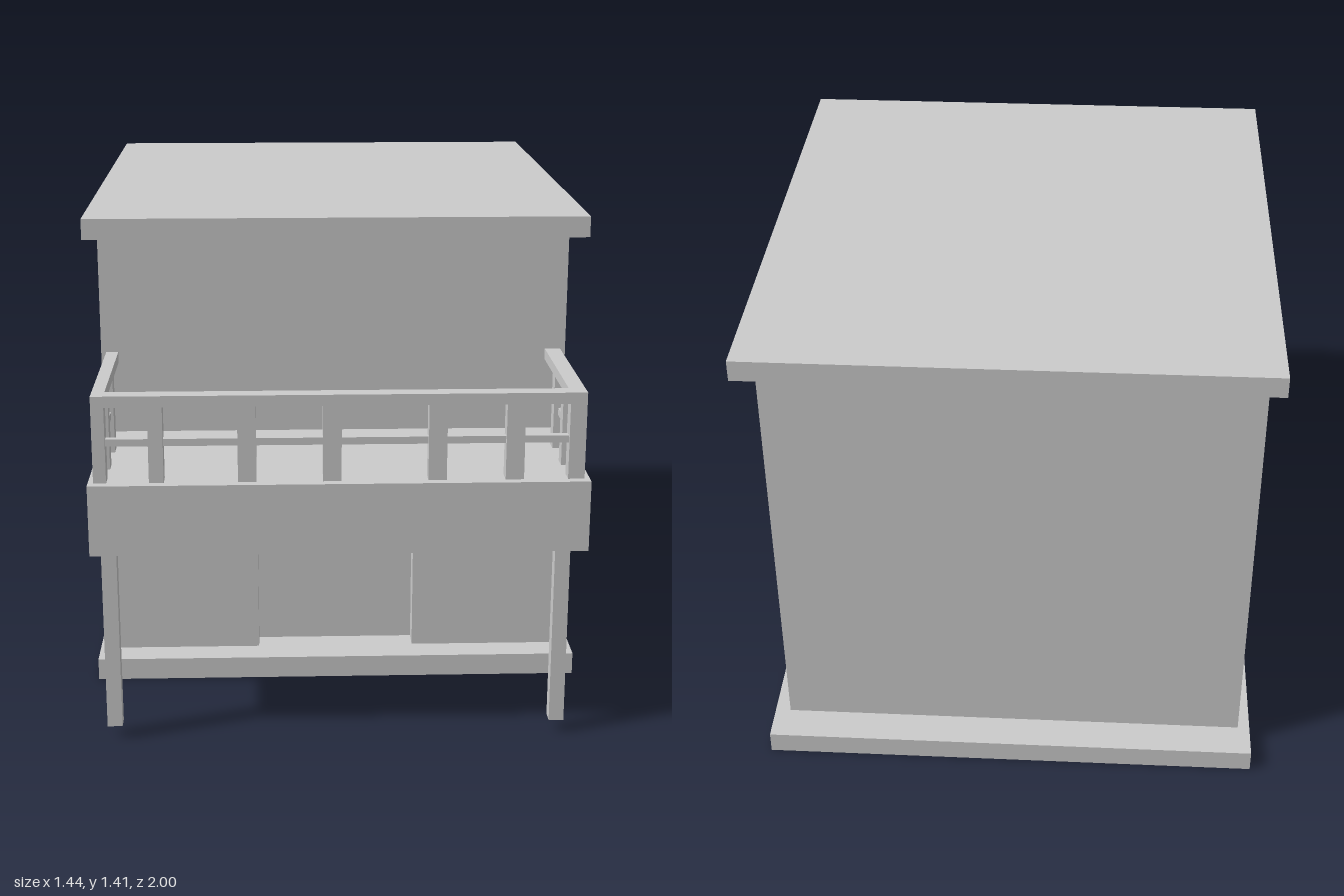
import * as THREE from 'three';

const material = new THREE.MeshStandardMaterial({ color: 0xcccccc, flatShading: true });

// Box given by its limits on each axis
function block(name, [x0, x1], [y0, y1], [z0, z1]) {
  const mesh = new THREE.Mesh(new THREE.BoxGeometry(x1 - x0, y1 - y0, z1 - z0), material);
  mesh.position.set((x0 + x1) / 2, (y0 + y1) / 2, (z0 + z1) / 2);
  mesh.name = name;
  return mesh;
}

// Front wall with a shallow doorway recess cut from its lower edge
function frontWall(x0, x1, y0, y1, zBack, zFront) {
  const door = 0.235, doorTop = 0.56;
  const shape = new THREE.Shape([
    [x0, y0], [-door, y0], [-door, doorTop], [door, doorTop],
    [door, y0], [x1, y0], [x1, y1], [x0, y1],
  ].map(([x, y]) => new THREE.Vector2(x, y)));
  const geometry = new THREE.ExtrudeGeometry(shape, { depth: zFront - zBack, bevelEnabled: false });
  geometry.translate(0, 0, zBack);
  const mesh = new THREE.Mesh(geometry, material);
  mesh.name = 'frontWall';
  return mesh;
}

function createRailing() {
  const railing = new THREE.Group();
  railing.name = 'balconyRailing';
  const post = [0.76, 0.972], top = [0.972, 1.003], mid = [0.86, 0.88];
  const front = [0.93, 0.975];
  const sides = [[-0.67, -0.635], [0.615, 0.66]];

  // Front posts, including the two corners
  const frontPosts = [sides[0], [-0.52, -0.48], [-0.28, -0.23], [-0.05, 0],
    [0.235, 0.285], [0.445, 0.495], sides[1]];
  for (const x of frontPosts) railing.add(block('railingPost', x, post, front));

  // Front rails
  railing.add(block('frontTopRail', [-0.67, 0.66], top, front));
  railing.add(block('frontMidRail', [-0.65, 0.64], mid, [0.943, 0.963]));

  // Side posts and rails running back to the wall
  for (const x of sides) {
    for (const z of [[0.815, 0.855], [0.66, 0.703]]) railing.add(block('railingPost', x, post, z));
    const centre = (x[0] + x[1]) / 2;
    railing.add(block('sideTopRail', x, top, [0.5, 0.93]));
    railing.add(block('sideMidRail', [centre - 0.01, centre + 0.01], mid, [0.5, 0.95]));
  }
  return railing;
}

export function createModel() {
  const house = new THREE.Group();
  house.name = 'house';
  const slabX = [-0.72, 0.72], slabZ = [-1, 0.585], wallX = [-0.685, 0.675];

  // Base, walls and flat roof
  house.add(block('baseSlab', slabX, [0, 0.065], slabZ));
  house.add(block('houseBody', wallX, [0.065, 1.35], [-0.895, 0.435]));
  house.add(frontWall(...wallX, 0.065, 1.35, 0.435, 0.5));
  house.add(block('roofSlab', slabX, [1.35, 1.41], slabZ));

  // Balcony on two supports
  house.add(block('balconyDeck', wallX, [0.56, 0.76], [0.5, 1]));
  for (const x of [[-0.657, -0.615], [0.588, 0.63]]) {
    house.add(block('balconySupport', x, [0.038, 0.56], [0.932, 0.972]));
  }
  house.add(createRailing());
  return house;
}
